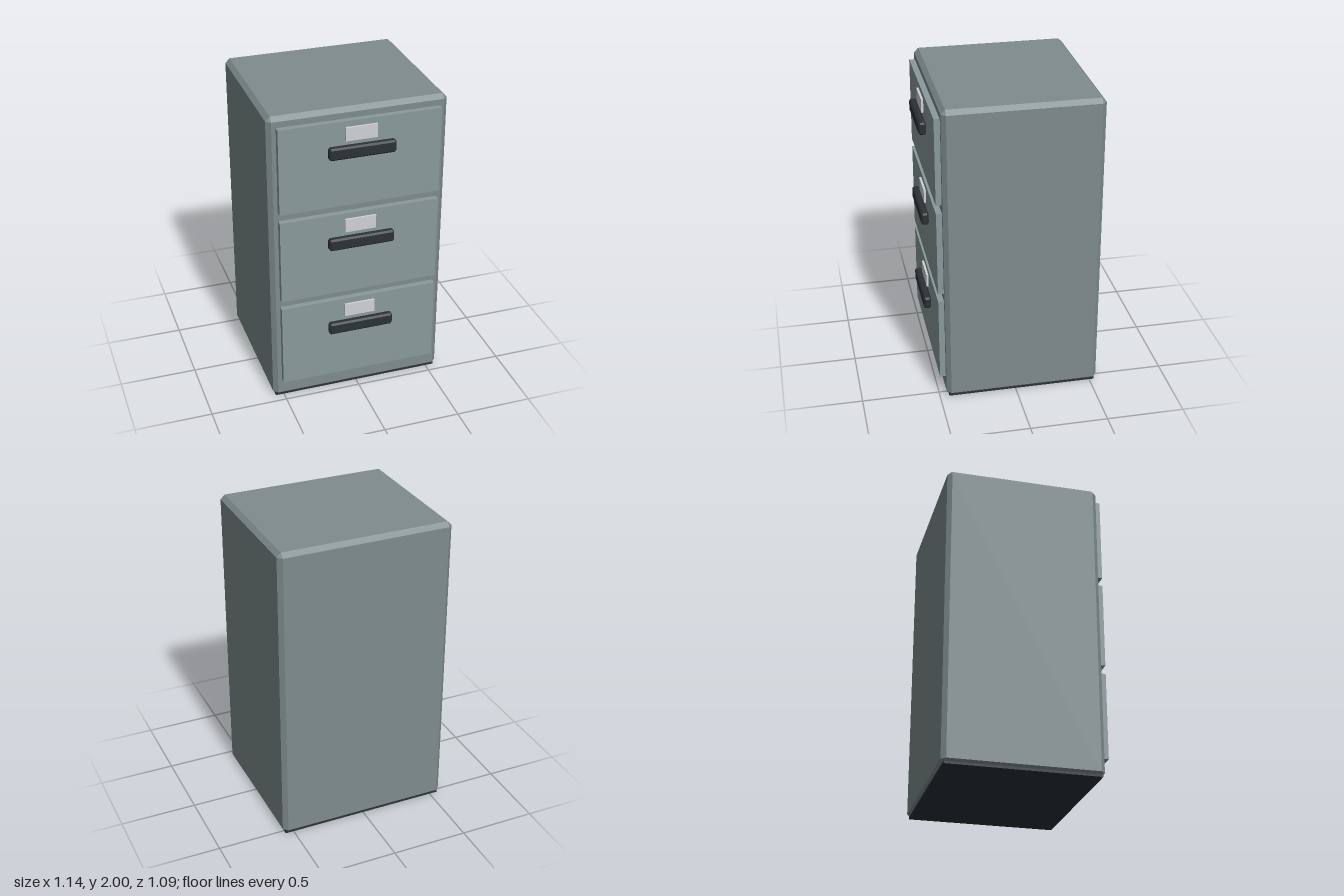
import * as THREE from 'three';
import { ConvexGeometry } from 'three/addons/geometries/ConvexGeometry.js';

const paint = (color) => new THREE.MeshStandardMaterial({ color });

// Box with a single flat chamfer of size c on every edge
function chamferBox(w, h, d, c) {
  const points = [];
  for (const x of [-w / 2, w / 2])
    for (const y of [-h / 2, h / 2])
      for (const z of [-d / 2, d / 2]) {
        const ix = x - Math.sign(x) * c, iy = y - Math.sign(y) * c, iz = z - Math.sign(z) * c;
        points.push(
          new THREE.Vector3(x, iy, iz),
          new THREE.Vector3(ix, y, iz),
          new THREE.Vector3(ix, iy, z)
        );
      }
  return new ConvexGeometry(points);
}

function part(parent, name, geometry, material, x, y, z) {
  const mesh = new THREE.Mesh(geometry, material);
  mesh.name = name;
  mesh.position.set(x, y, z);
  parent.add(mesh);
  return mesh;
}

export function createModel() {
  const model = new THREE.Group();
  model.name = 'filingCabinet';

  const bodyPaint = paint(0x7f8c8d);
  const drawerPaint = paint(0x8a9a9b);
  const darkPaint = paint(0x2c3236);
  const labelPaint = paint(0xd0d2d6);

  // Cabinet shell, lifted a hair so the plinth alone forms the underside
  part(model, 'cabinetBody', chamferBox(1.14, 1.998, 1.0, 0.028), bodyPaint, 0, 1.001, -0.045);
  part(model, 'plinth', new THREE.BoxGeometry(1.11, 0.03, 0.97), darkPaint, 0, 0.015, -0.045);

  // Three identical drawers
  const panel = new THREE.BoxGeometry(1.03, 0.563, 0.047);
  const handle = chamferBox(0.424, 0.08, 0.048, 0.011);
  const label = new THREE.BoxGeometry(0.2, 0.088, 0.02);
  for (let i = 0; i < 3; i++) {
    const drawer = new THREE.Group();
    drawer.name = 'drawer' + (i + 1);
    drawer.position.y = 0.412 + i * 0.62;
    part(drawer, 'drawerFront', panel, drawerPaint, 0, 0, 0.4685);
    part(drawer, 'handle', handle, darkPaint, 0, 0.093, 0.517);
    part(drawer, 'labelPlate', label, labelPaint, 0, 0.2, 0.496);
    model.add(drawer);
  }
  return model;
}
